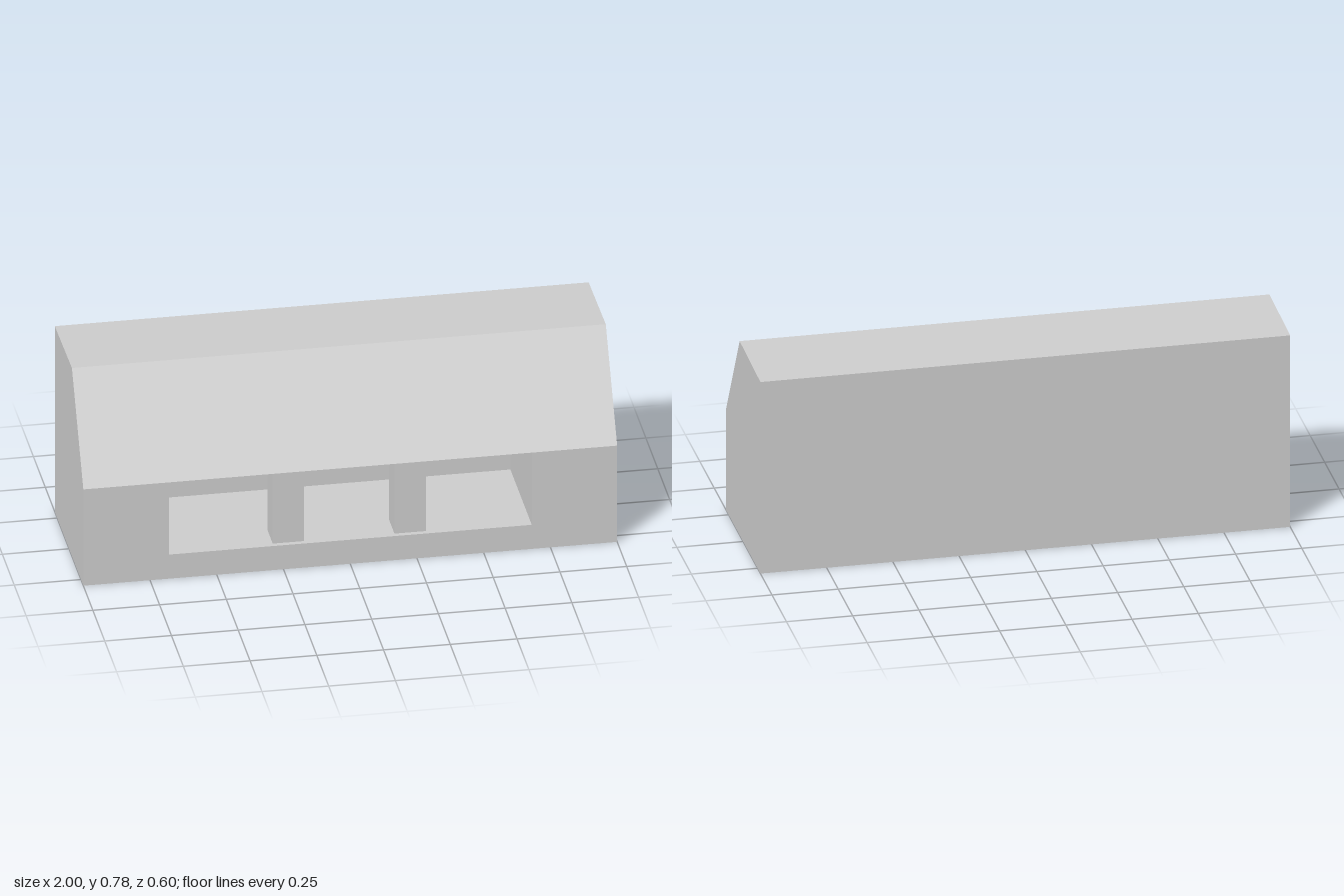
import * as THREE from 'three';
import { mergeGeometries } from 'three/addons/utils/BufferGeometryUtils.js';

const HALF = 1, FRONT = 0.3, RECESS_BACK = -0.15;
const OPEN_X = 0.68, OPEN_LOW = 0.1, EAVE = 0.4;

// Flat four-cornered face, corners anticlockwise seen from its front
function quad(a, b, c, d) {
  const g = new THREE.BufferGeometry();
  g.setAttribute('position', new THREE.Float32BufferAttribute([a, b, c, a, c, d].flat(), 3));
  g.computeVertexNormals();
  return g;
}

// Flat polygon facing +z
function polygon(points) {
  const g = new THREE.ShapeGeometry(new THREE.Shape(points.map(([x, y]) => new THREE.Vector2(x, y)))).toNonIndexed();
  g.deleteAttribute('uv');
  return g;
}

export function createModel() {
  const group = new THREE.Group();
  const grey = new THREE.MeshStandardMaterial({ color: 0xcccccc });
  grey.name = 'grey';
  const add = (name, geometry) => {
    const mesh = new THREE.Mesh(geometry, grey);
    mesh.name = name;
    group.add(mesh);
    return mesh;
  };

  // Outer shell: slope, top, back and underside swept along x, closed by two end walls
  const profile = [[FRONT, EAVE], [0.06, 0.782], [-0.3, 0.772], [-0.3, 0], [FRONT, 0]]; // z, y
  const shell = [];
  for (let i = 0; i < profile.length - 1; i++) {
    const [pz, py] = profile[i], [qz, qy] = profile[i + 1];
    shell.push(quad([-HALF, py, pz], [HALF, py, pz], [HALF, qy, qz], [-HALF, qy, qz]));
  }
  shell.push(polygon(profile.map(([z, y]) => [-z, y])).rotateY(Math.PI / 2).translate(HALF, 0, 0));
  shell.push(polygon(profile).rotateY(-Math.PI / 2).translate(-HALF, 0, 0));
  add('outerShell', mergeGeometries(shell));

  // Front wall around the opening, which reaches up to the eave
  add('frontWall', polygon([
    [-HALF, 0], [HALF, 0], [HALF, EAVE], [OPEN_X, EAVE],
    [OPEN_X, OPEN_LOW], [-OPEN_X, OPEN_LOW], [-OPEN_X, EAVE], [-HALF, EAVE],
  ]).translate(0, 0, FRONT));

  // Recess: floor, sides, ceiling and back wall
  const corners = [[-OPEN_X, OPEN_LOW], [OPEN_X, OPEN_LOW], [OPEN_X, EAVE], [-OPEN_X, EAVE]];
  const recess = corners.map((a, i) => {
    const b = corners[(i + 1) % 4];
    return quad([...a, FRONT], [...b, FRONT], [...b, RECESS_BACK], [...a, RECESS_BACK]);
  });
  recess.push(quad(...corners.map((c) => [...c, RECESS_BACK])));
  add('recess', mergeGeometries(recess));

  // Two square pillars just behind the front wall
  for (const side of [-1, 1]) {
    const pillar = add(side > 0 ? 'leftPillar' : 'rightPillar',
      new THREE.BoxGeometry(0.118, EAVE - OPEN_LOW, 0.115));
    pillar.position.set(side * 0.228, (EAVE + OPEN_LOW) / 2, 0.223);
  }

  return group;
}
